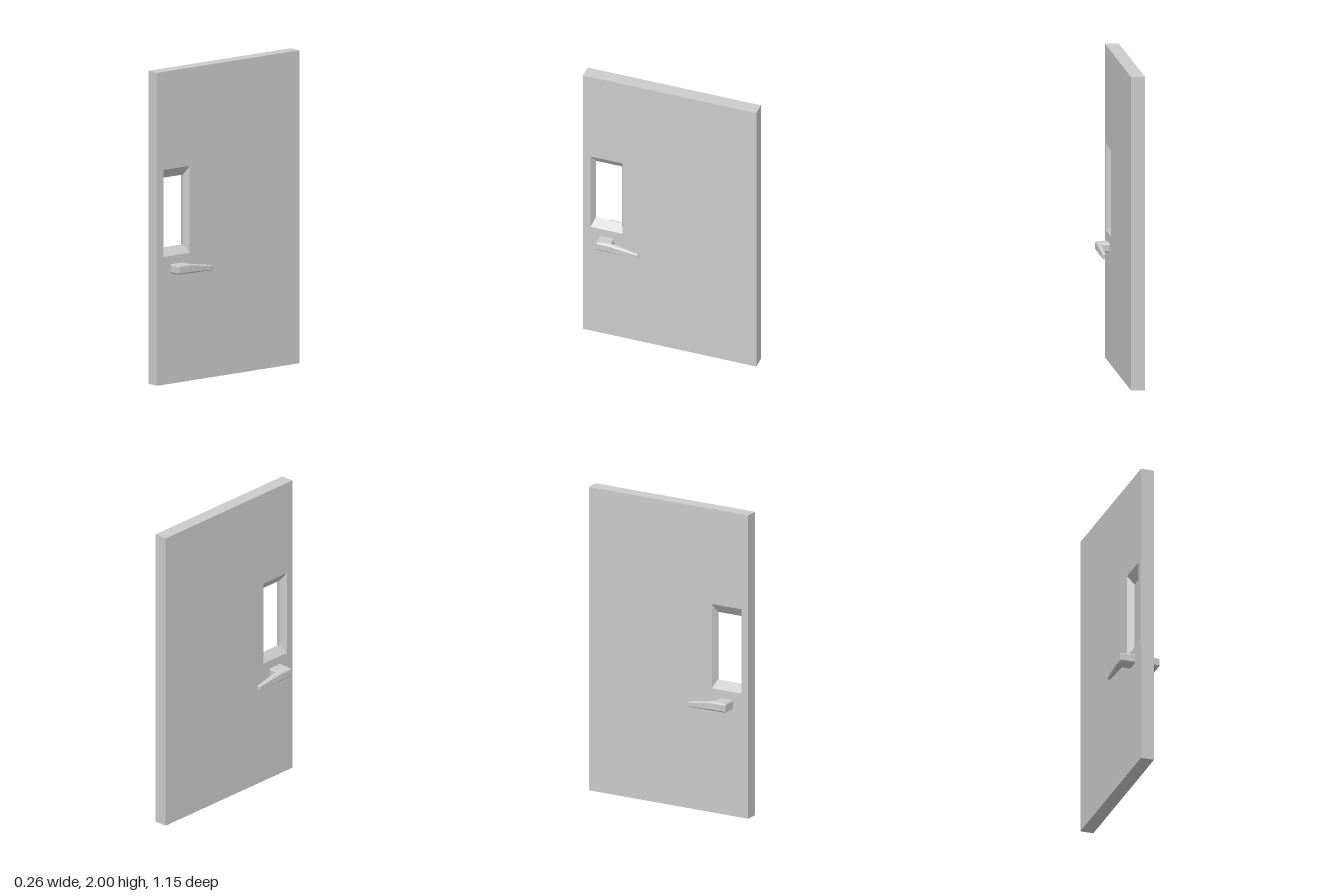
import * as THREE from 'three';

const material = new THREE.MeshStandardMaterial({ color: 0xcccccc, flatShading: true });

function named(name, geometry) {
  geometry.computeVertexNormals();
  const mesh = new THREE.Mesh(geometry, material);
  mesh.name = name;
  return mesh;
}

// Applies fn(v) to every vertex of a geometry
function reshape(geometry, fn) {
  const pos = geometry.attributes.position;
  const v = new THREE.Vector3();
  for (let i = 0; i < pos.count; i++) {
    fn(v.fromBufferAttribute(pos, i));
    pos.setXYZ(i, v.x, v.y, v.z);
  }
  return geometry;
}

function rectangle(target, x0, x1, y0, y1) {
  target.moveTo(x0, y0);
  target.lineTo(x1, y0);
  target.lineTo(x1, y1);
  target.lineTo(x0, y1);
  target.closePath();
  return target;
}

// Door slab: drawn in z and y, extruded across x. The window walls slope
// from both faces to a narrower rim halfway through the thickness.
function makeSlab() {
  const xMin = -0.035, thickness = 0.087, xMid = xMin + thickness / 2;
  const outer = { z0: 0.313, z1: 0.527, y0: 0.817, y1: 1.373 };
  const inner = { z0: 0.333, z1: 0.507, y0: 0.868, y1: 1.313 };
  const shape = rectangle(new THREE.Shape(), -0.577, 0.577, 0, 2);
  shape.holes.push(rectangle(new THREE.Path(), outer.z0, outer.z1, outer.y0, outer.y1));
  const geometry = new THREE.ExtrudeGeometry(shape, { depth: thickness, steps: 2, bevelEnabled: false });
  geometry.rotateY(-Math.PI / 2).translate(xMin + thickness, 0, 0);
  return named('doorSlab', reshape(geometry, (v) => {
    const inWindow = v.z > 0.3 && v.z < 0.55 && v.y > 0.8 && v.y < 1.4;
    if (!inWindow || Math.abs(v.x - xMid) > 0.01) return;
    v.z = v.z < 0.42 ? inner.z0 : inner.z1;
    v.y = v.y < 1.1 ? inner.y0 : inner.y1;
  }));
}

// Lever handle: chamfered L outline in x and z, tapering in height to its tip
function makeHandle(name, side, face, outerX, innerX, tipInnerX) {
  const zRoot = 0.37, zTip = 0.185, chamfer = 0.008, height = 0.058;
  const outline = [
    [face, 0.467], [outerX - 0.005, 0.467], [outerX, 0.461], [outerX, zRoot],
    [0.124, 0.194], [0.119, zTip], [tipInnerX + 0.005, zTip], [tipInnerX, 0.194],
    [innerX, zRoot], [face, zRoot],
  ].map(([x, z]) => new THREE.Vector2(side * x, z));
  const geometry = new THREE.ExtrudeGeometry(new THREE.Shape(outline), {
    depth: height - 2 * chamfer, bevelEnabled: true, bevelSegments: 1,
    bevelThickness: chamfer, bevelSize: chamfer * 0.8, bevelOffset: -chamfer * 0.8,
  });
  geometry.rotateX(Math.PI / 2).translate(0, height - chamfer, 0);
  return named(name, reshape(geometry, (v) => {
    const t = THREE.MathUtils.clamp((zRoot + 0.01 - v.z) / (zRoot + 0.01 - zTip), 0, 1);
    v.y = 0.706 - 0.006 * t + v.y * (1 - 0.45 * t);
  }));
}

export function createModel() {
  const door = new THREE.Group();
  door.name = 'door';
  door.add(
    makeSlab(),
    makeHandle('leftHandle', 1, 0.04, 0.13, 0.096, 0.102),
    makeHandle('rightHandle', -1, 0.025, 0.133, 0.087, 0.1),
  );
  return door;
}
